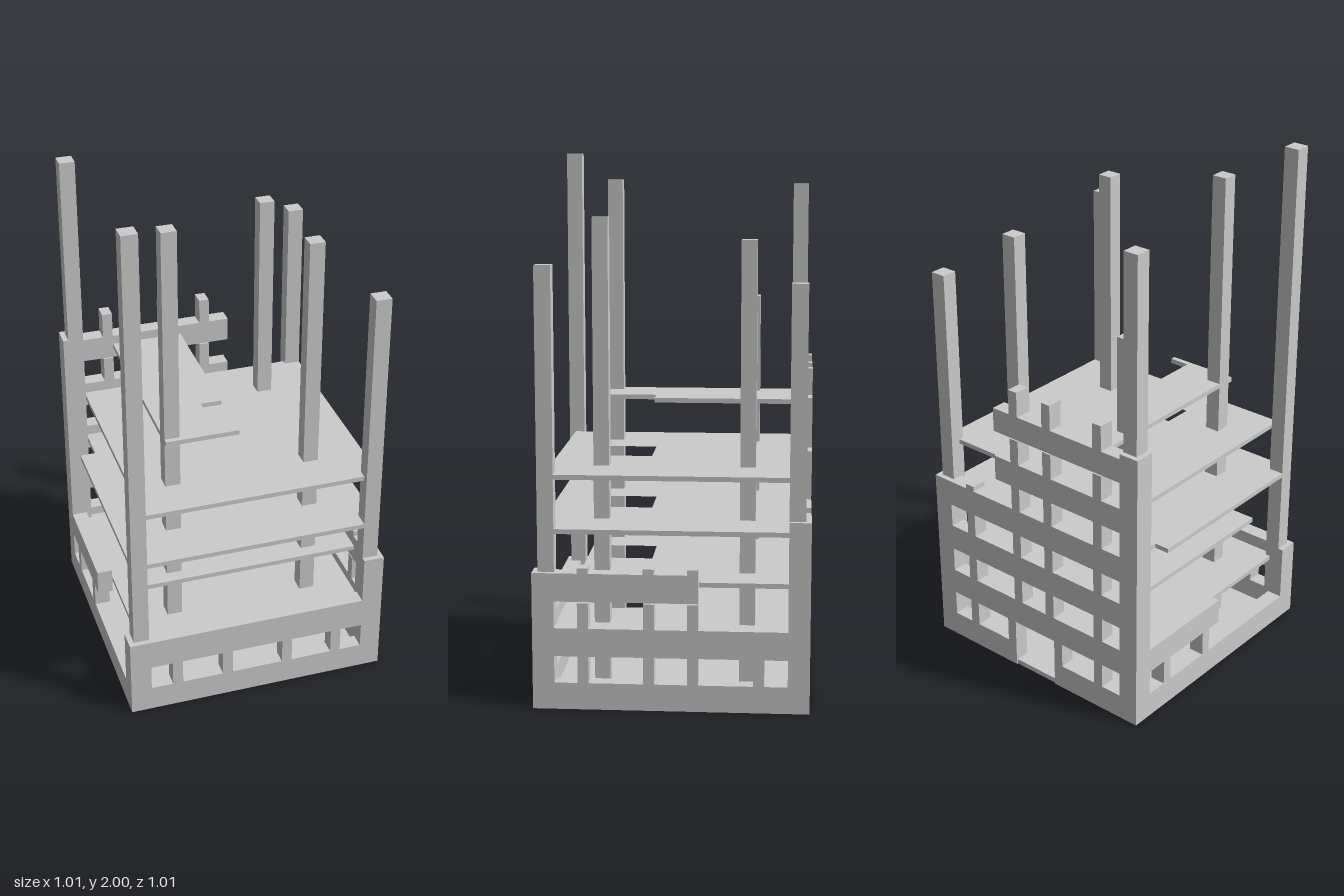
import * as THREE from 'three';

const OUT = 0.505, IN = 0.445, CORNER = 0.425;

export function createModel() {
  const model = new THREE.Group();
  const mat = new THREE.MeshStandardMaterial({ color: 0xcccccc, flatShading: true });

  function add(geo, name, parent = model) {
    const mesh = new THREE.Mesh(geo, mat);
    mesh.name = name;
    parent.add(mesh);
    return mesh;
  }

  // box given by its limits
  function box(name, x0, x1, y0, y1, z0, z1, parent) {
    const geo = new THREE.BoxGeometry(x1 - x0, y1 - y0, z1 - z0);
    geo.translate((x0 + x1) / 2, (y0 + y1) / 2, (z0 + z1) / 2);
    return add(geo, name, parent);
  }

  // wall of horizontal bands [from, to, bottom, top] and piers [centre, bottom, top]
  function wall(name, axis, side, bands, piers) {
    const group = new THREE.Group();
    group.name = name;
    model.add(group);
    const t0 = side > 0 ? IN : -OUT, t1 = side > 0 ? OUT : -IN;
    const piece = (label, a, b, y0, y1) => axis === 'x'
      ? box(label, a, b, y0, y1, t0, t1, group)
      : box(label, t0, t1, y0, y1, a, b, group);
    bands.forEach(([a, b, y0, y1]) => piece('wallBand', a, b, y0, y1));
    piers.forEach(([c, y0, y1]) => piece('windowPier', c - 0.02, c + 0.02, y0, y1));
  }

  // floor slab from an outline of [x, z] points, with an optional stair opening
  function slab(name, top, outline, opening) {
    const toV = ([x, z]) => new THREE.Vector2(x, -z);
    const shape = new THREE.Shape(outline.map(toV));
    if (opening) {
      shape.holes.push(new THREE.Path(
        [[-0.1, 0.1], [0.1, 0.1], [0.1, 0.3], [-0.1, 0.3]].map(toV)));
    }
    const geo = new THREE.ExtrudeGeometry(shape, { depth: 0.018, bevelEnabled: false });
    geo.rotateX(-Math.PI / 2);
    geo.translate(0, top - 0.018, 0);
    add(geo, name);
  }

  const rect = (x0, x1, z0, z1) => [[x0, z0], [x1, z0], [x1, z1], [x0, z1]];
  const C = CORNER;

  // ground slab
  box('groundSlab', -0.5, 0.5, 0, 0.02, -0.5, 0.5);

  // corner blocks and corner columns: x side, z side, block height, column height
  [[-1, 1, 0.32, 2.0], [1, 1, 0.51, 1.62], [1, -1, 0.71, 1.56], [-1, -1, 1.13, 1.88]]
    .forEach(([sx, sz, block, top]) => {
      const b = box('cornerBlock', -0.04, 0.04, 0, block, -0.04, 0.04);
      b.position.set(sx * 0.465, 0, sz * 0.465);
      const c = box('cornerColumn', -0.03, 0.03, 0.02, top, -0.03, 0.03);
      c.position.set(sx * 0.455, 0, sz * 0.455);
    });

  // inner columns
  [[-1, 1, 1.9], [1, 1, 1.78], [1, -1, 1.7], [-1, -1, 1.45]].forEach(([sx, sz, top]) => {
    const c = box('innerColumn', -0.029, 0.029, 0.02, top, -0.029, 0.029);
    c.position.set(sx * 0.271, 0, sz * 0.271);
  });

  // front wall
  wall('frontWall', 'x', 1,
    [[-C, C, 0, 0.1], [-C, C, 0.2, 0.32]],
    [-0.32, -0.12, 0.12, 0.32].map(c => [c, 0.1, 0.2]));

  // back wall with a doorway and a broken top
  const backPiers = [[-0.32, 0.1, 0.2], [-0.12, 0.02, 0.2], [0.12, 0.02, 0.2], [0.32, 0.1, 0.2]];
  for (const y of [0.3, 0.5]) {
    [-0.32, -0.08, 0.08, 0.32].forEach(c => backPiers.push([c, y, y + 0.11]));
  }
  for (const y of [0.71, 0.91, 1.11]) {
    [-0.32, -0.08, 0.08].forEach(c => backPiers.push([c, y, y + 0.1]));
  }
  backPiers.push([0.32, 0.71, 0.73]);
  wall('backWall', 'x', -1,
    [[-C, -0.1, 0, 0.1], [0.1, C, 0, 0.1], [-C, C, 0.2, 0.305], [-C, C, 0.405, 0.51],
      [-C, C, 0.605, 0.71], [-C, 0.18, 0.81, 0.91], [-C, 0.18, 1.015, 1.11]],
    backPiers);

  // left wall, its second storey broken off toward the back
  const leftPiers = [-0.32, -0.08, 0.08, 0.32].map(c => [c, 0.1, 0.2]);
  [-0.08, 0.08, 0.32].forEach(c => leftPiers.push([c, 0.3, 0.4], [c, 0.51, 0.53]));
  wall('leftWall', 'z', 1,
    [[-C, C, 0, 0.1], [-C, C, 0.2, 0.305], [-0.1, C, 0.405, 0.51]], leftPiers);

  // right wall, mostly collapsed
  wall('rightWall', 'z', -1,
    [[-C, C, 0, 0.1], [-C, 0, 0.2, 0.3]],
    [[-0.32, 0.1, 0.2], [-0.08, 0.1, 0.2]]);

  // floor slabs, each more broken than a full storey
  slab('firstFloor', 0.27, rect(-IN, IN, -IN, IN), true);
  slab('secondFloor', 0.469, rect(-0.405, IN, -IN, 0.35), true);
  slab('thirdFloor', 0.669,
    [[-C, -IN], [0.485, -IN], [0.485, 0.485], [-0.485, 0.485], [-0.485, -0.3], [-C, -0.3]], true);
  slab('fourthFloor', 0.869, rect(-C, 0.485, -IN, 0.46), true);
  slab('fifthFloorRemnant', 1.074,
    [[-0.3, -IN], [-0.02, -IN], [-0.02, 0.1], [-0.1, 0.1], [-0.1, 0.3], [-0.02, 0.3],
      [-0.02, 0.32], [-0.3, 0.32]], false);

  return model;
}
